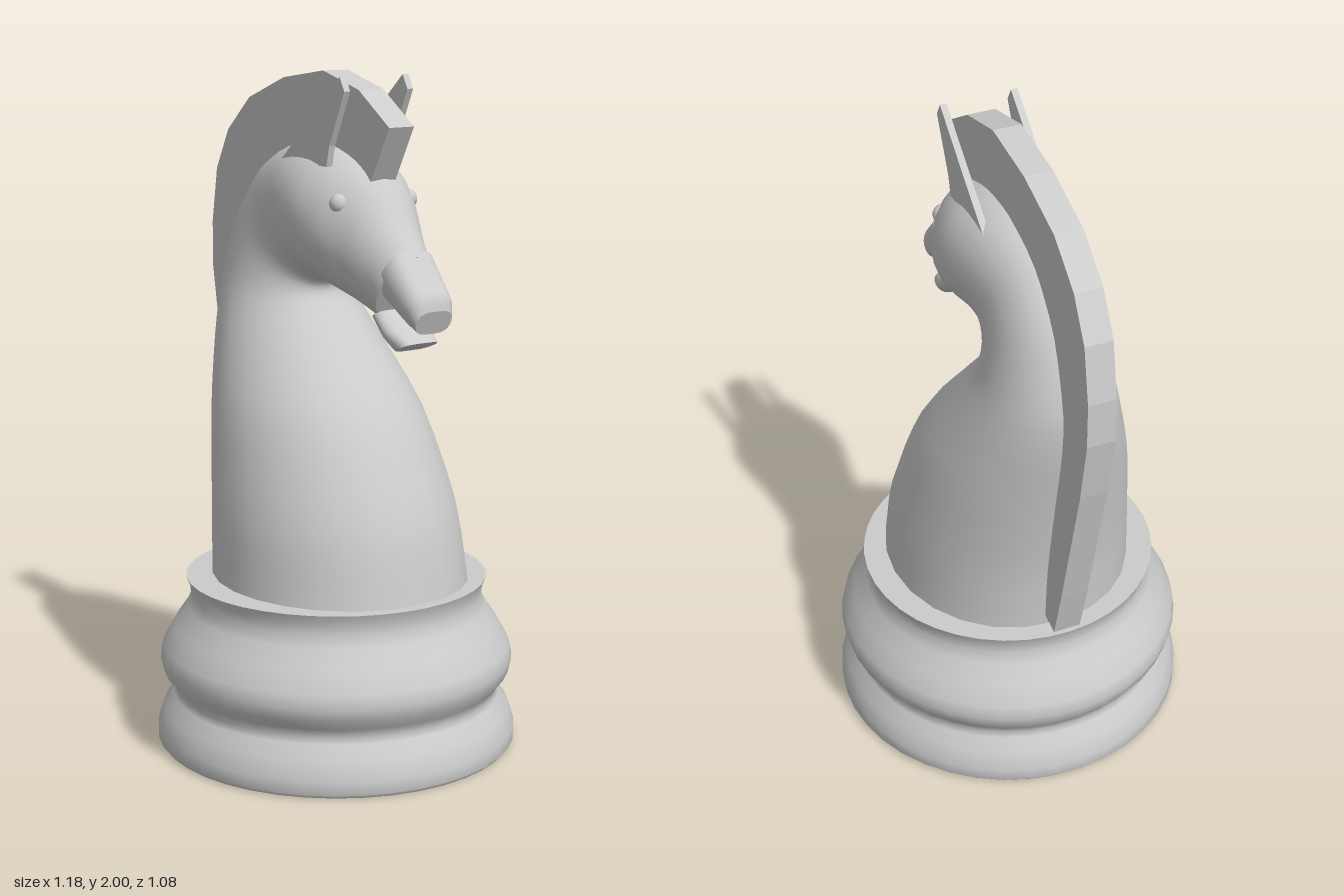
import * as THREE from 'three';

const material = new THREE.MeshStandardMaterial({ color: 0xcccccc, side: THREE.DoubleSide });

function part(name, geometry, parent) {
  const mesh = new THREE.Mesh(geometry, material);
  mesh.name = name;
  parent.add(mesh);
  return mesh;
}

// Skins oval sections. Row: [rear x, rear y, front x, front y, half width]
function loft(rows, power, steps, sides = 24) {
  const rear = new THREE.CatmullRomCurve3(rows.map(r => new THREE.Vector3(r[0], r[1], r[4])), false, 'catmullrom', 0.4);
  const front = new THREE.CatmullRomCurve3(rows.map(r => new THREE.Vector3(r[2], r[3], 0)), false, 'catmullrom', 0.4);
  const pos = [], index = [];
  const count = (rows.length - 1) * steps;
  const ring = t => {
    const b = rear.getPoint(t), f = front.getPoint(t);
    for (let j = 0; j < sides; j++) {
      const a = j / sides * Math.PI * 2, u = (1 - Math.cos(a)) / 2, s = Math.sin(a);
      pos.push(b.x + (f.x - b.x) * u, b.y + (f.y - b.y) * u, b.z * Math.sign(s) * Math.abs(s) ** power);
    }
  };
  for (let i = 0; i <= count; i++) ring(i / count);
  for (let i = 0; i < count; i++) {
    for (let j = 0; j < sides; j++) {
      const k = (j + 1) % sides, a = i * sides, d = a + sides;
      index.push(a + j, a + k, d + k, a + j, d + k, d + j);
    }
  }
  // Flat end caps on their own vertices
  for (const end of [0, 1]) {
    const start = pos.length / 3;
    ring(end);
    for (let j = 1; j < sides - 1; j++) {
      if (end) index.push(start, start + j, start + j + 1);
      else index.push(start, start + j + 1, start + j);
    }
  }
  const g = new THREE.BufferGeometry();
  g.setAttribute('position', new THREE.Float32BufferAttribute(pos, 3));
  g.setIndex(index);
  g.computeVertexNormals();
  return g;
}

// Flat outline in x and y, thickened evenly about z = 0
function slab(points, depth) {
  const shape = new THREE.Shape(points.map(p => new THREE.Vector2(...p)));
  return new THREE.ExtrudeGeometry(shape, { depth, bevelEnabled: false }).translate(0, 0, -depth / 2);
}

export function createModel() {
  const model = new THREE.Group();
  model.name = 'chessKnight';

  // Turned base: two rounded mouldings and a flared rim
  const side = [
    [0.53, 0], [0.54, 0.012], [0.54, 0.05], [0.523, 0.105], [0.492, 0.145], [0.486, 0.165],
    [0.496, 0.19], [0.52, 0.22], [0.53, 0.26], [0.522, 0.3], [0.488, 0.36], [0.45, 0.415],
    [0.436, 0.45], [0.44, 0.485], [0.45, 0.51],
  ].map(p => new THREE.Vector2(...p));
  const base = new THREE.Group();
  base.name = 'base';
  base.position.x = 0.053;
  model.add(base);
  part('baseMouldings', new THREE.LatheGeometry(side, 40), base);
  part('baseTop', new THREE.CircleGeometry(0.45, 40).rotateX(-Math.PI / 2), base).position.y = 0.51;
  part('baseBottom', new THREE.CircleGeometry(0.53, 40).rotateX(Math.PI / 2), base);

  // The horse is turned very slightly on its base
  const horse = new THREE.Group();
  horse.name = 'horse';
  horse.rotation.y = -0.033;
  horse.position.z = -0.006;
  model.add(horse);

  // Neck sweeping up, then fanning round the throat into the head
  part('neckAndHead', loft([
    [-0.34, 0.505, 0.47, 0.505, 0.37],
    [-0.355, 0.73, 0.42, 0.73, 0.353],
    [-0.4, 1.0, 0.285, 1.0, 0.305],
    [-0.437, 1.2, 0.115, 1.2, 0.24],
    [-0.445, 1.36, 0.005, 1.325, 0.19],
    [-0.38, 1.58, -0.008, 1.365, 0.16],
    [-0.25, 1.73, 0.01, 1.388, 0.152],
    [-0.07, 1.797, 0.05, 1.4, 0.175],
    [0.08, 1.798, 0.11, 1.39, 0.187],
    [0.2, 1.765, 0.18, 1.37, 0.172],
    [0.285, 1.71, 0.245, 1.348, 0.137],
    [0.37, 1.595, 0.295, 1.33, 0.108],
    [0.445, 1.507, 0.335, 1.315, 0.09],
  ], 0.95, 3), horse);

  // Jaws either side of the open mouth
  part('upperJaw', loft([
    [0.43, 1.523, 0.36, 1.39, 0.086],
    [0.49, 1.455, 0.42, 1.357, 0.08],
    [0.532, 1.41, 0.475, 1.325, 0.074],
    [0.542, 1.37, 0.515, 1.303, 0.06],
  ], 0.55, 3), horse);
  part('lowerJaw', loft([
    [0.36, 1.352, 0.315, 1.324, 0.07],
    [0.43, 1.308, 0.375, 1.272, 0.076],
    [0.485, 1.273, 0.41, 1.24, 0.062],
  ], 0.5, 3), horse);

  // Crest of the mane, its inner edge buried in the neck
  part('mane', slab([
    [-0.4, 0.53], [-0.445, 0.7], [-0.49, 0.89], [-0.555, 1.16], [-0.59, 1.36], [-0.59, 1.5],
    [-0.56, 1.67], [-0.49, 1.795], [-0.365, 1.9], [-0.17, 1.97], [0.04, 2.0], [0.22, 1.955],
    [0.37, 1.86], [0.28, 1.7], [0.18, 1.72], [-0.05, 1.75], [-0.23, 1.68], [-0.35, 1.52],
    [-0.41, 1.34], [-0.4, 1.18], [-0.365, 0.97], [-0.325, 0.72], [-0.335, 0.545],
  ], 0.084), horse);

  // Ears and eyes, mirrored
  for (const [label, s] of [['left', 1], ['right', -1]]) {
    const ear = part(label === 'left' ? 'nearEar' : 'farEar', slab([
      [-0.07, 1.74], [0.17, 1.74], [0.185, 1.8], [0.26, 1.955], [0.236, 1.995], [0.1, 1.88],
    ], 0.02), horse);
    ear.position.z = s * 0.107;
    const eye = part(label === 'left' ? 'nearEye' : 'farEye', new THREE.SphereGeometry(0.03, 16, 12), horse);
    eye.position.set(0.235, 1.642, s * 0.116);
  }
  return model;
}
